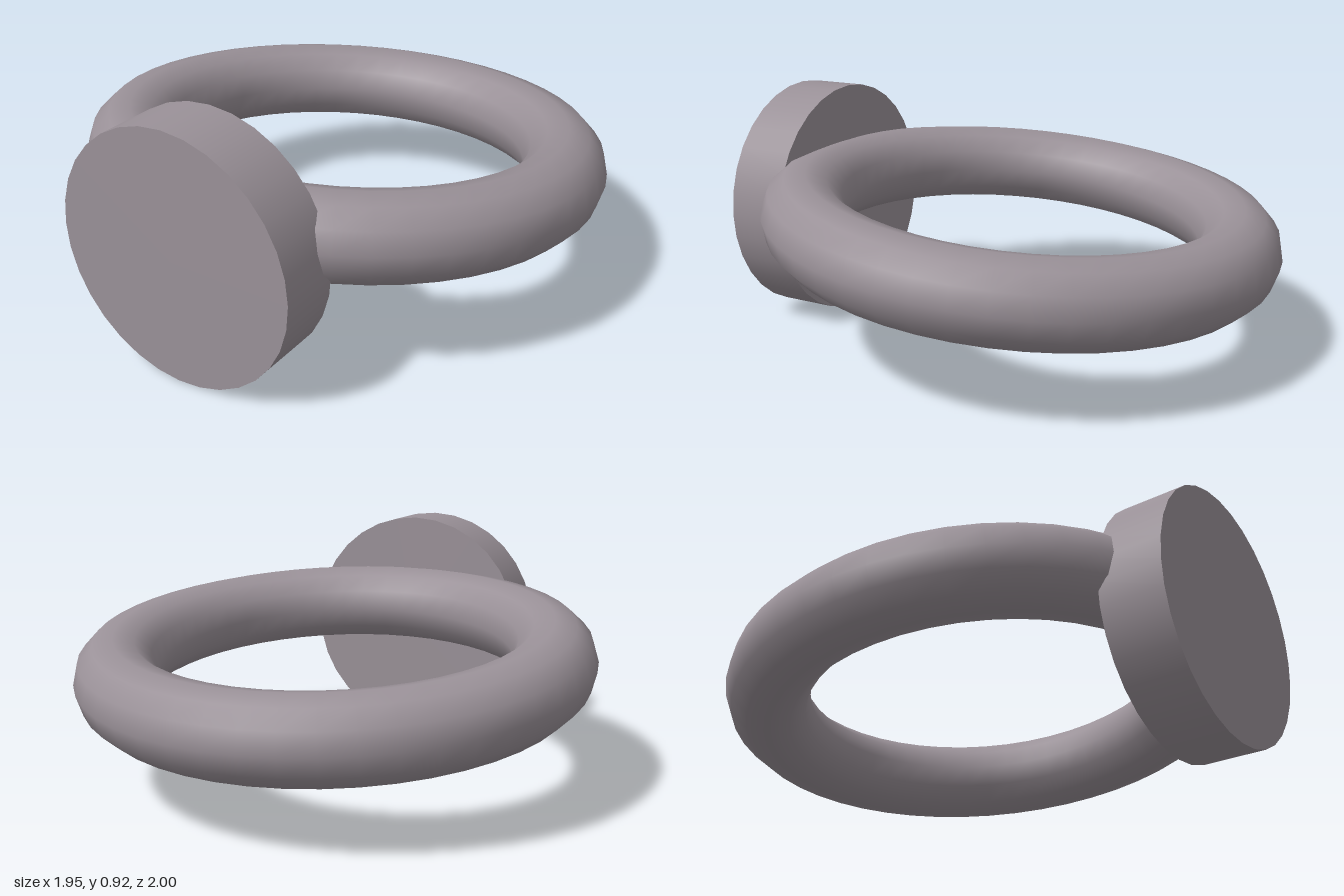
import * as THREE from 'three';

export function createModel() {
  const model = new THREE.Group();
  model.name = 'ringWithDisc';

  const metal = new THREE.MeshStandardMaterial({ color: 0x9a9198 });
  metal.name = 'warm grey metal';

  // Round band, tilted so that its front rises towards the disc
  const band = new THREE.Mesh(new THREE.TorusGeometry(0.82, 0.155, 12, 48), metal);
  band.name = 'band';
  band.rotation.x = Math.PI / 2 - 0.1;
  band.position.set(0, 0.465, -0.028);

  // Upright disc on the front of the band
  const disc = new THREE.Mesh(new THREE.CylinderGeometry(0.46, 0.46, 0.23, 32), metal);
  disc.name = 'disc';
  disc.rotation.x = Math.PI / 2;
  disc.position.set(0, 0.46, 0.885);

  model.add(band, disc);
  return model;
}
